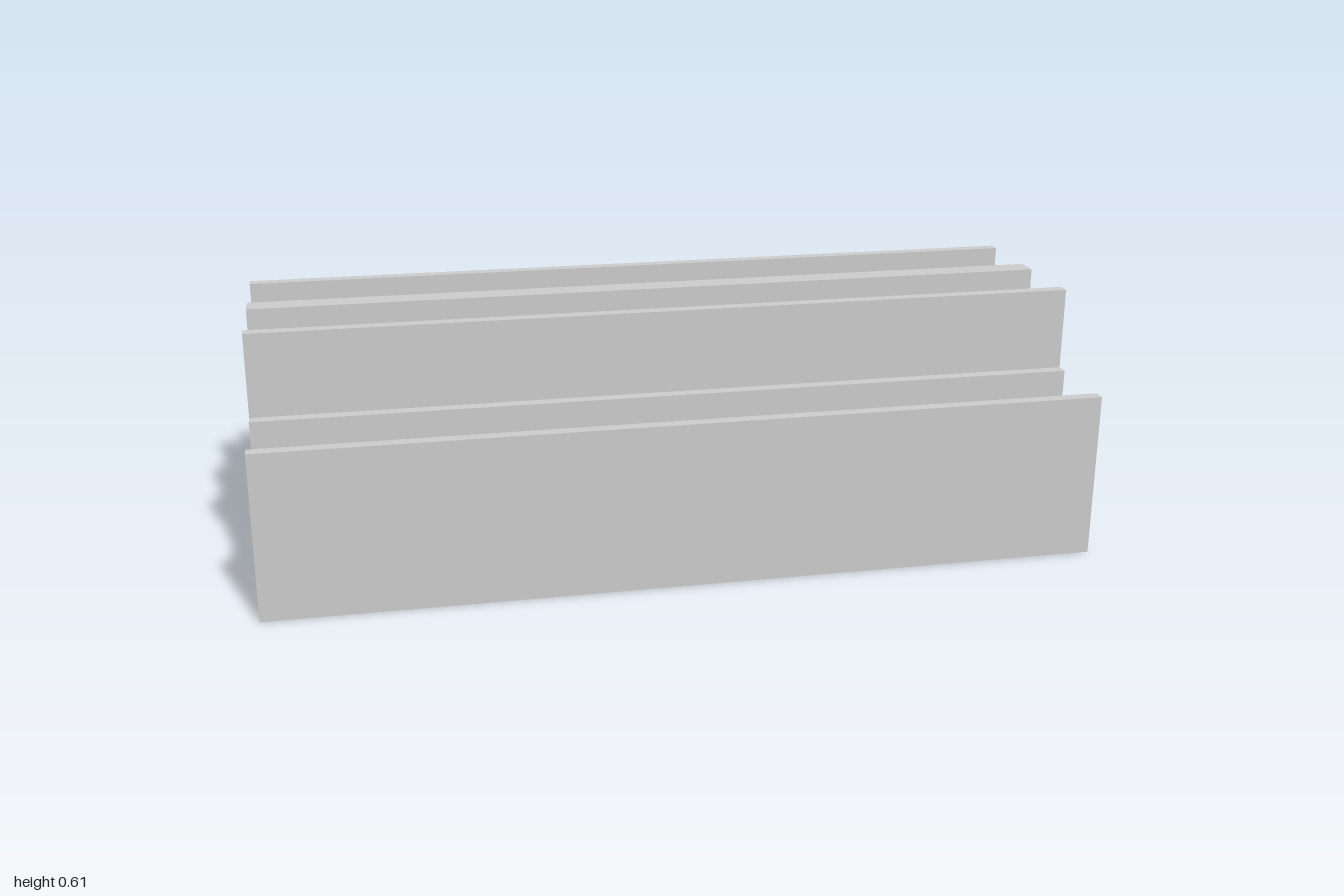
import * as THREE from 'three';

const LENGTH = 2, WIDTH = 0.24, HEIGHT = 0.2023, THICK = 0.03;

// H-shaped section: two upright flanges joined by a level web
function beamGeometry() {
  const w = WIDTH / 2, h = HEIGHT / 2, t = THICK / 2, i = w - THICK;
  const outline = [
    [-w, -h], [-i, -h], [-i, -t], [i, -t], [i, -h], [w, -h],
    [w, h], [i, h], [i, t], [-i, t], [-i, h], [-w, h],
  ];
  const shape = new THREE.Shape(outline.map(([x, y]) => new THREE.Vector2(x, y)));
  const geometry = new THREE.ExtrudeGeometry(shape, { depth: LENGTH, bevelEnabled: false });
  geometry.translate(0, 0, -LENGTH / 2);
  geometry.rotateY(Math.PI / 2);
  return geometry;
}

export function createModel() {
  const group = new THREE.Group();
  group.name = 'beamStack';
  const material = new THREE.MeshStandardMaterial({ color: 0xcccccc });
  const geometry = beamGeometry();

  // Beams in each tier, from the bottom up
  [4, 4, 2].forEach((count, tier) => {
    const row = new THREE.Group();
    row.name = `tier${tier + 1}`;
    for (let k = 0; k < count; k++) {
      const beam = new THREE.Mesh(geometry, material);
      beam.name = `beam${k + 1}`;
      beam.position.set(0, HEIGHT * (tier + 0.5), WIDTH * (k - (count - 1) / 2));
      row.add(beam);
    }
    group.add(row);
  });
  return group;
}
